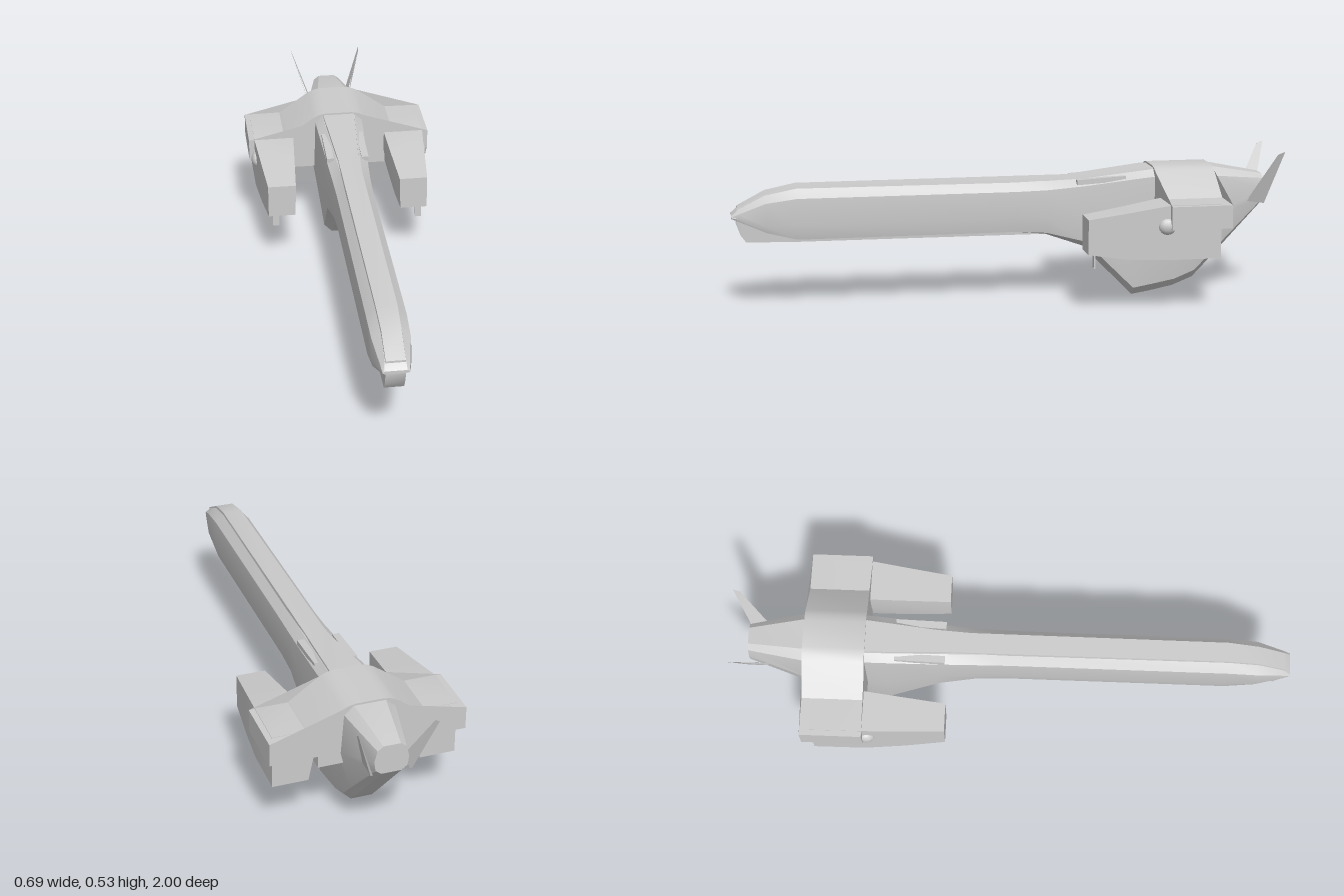
import * as THREE from 'three';
import { toCreasedNormals } from 'three/addons/utils/BufferGeometryUtils.js';

const material = new THREE.MeshStandardMaterial({ color: 0xcccccc });
const thin = new THREE.MeshStandardMaterial({ color: 0xcccccc, side: THREE.DoubleSide });

function mesh(name, geometry, mat = material) {
  const m = new THREE.Mesh(geometry, mat);
  m.name = name;
  return m;
}

// Closed skin over rings of [x, y, z], front to back, each clockwise seen from the front
function loft(rings) {
  const n = rings[0].length;
  const index = [];
  for (let s = 0; s < rings.length - 1; s++) {
    for (let i = 0; i < n; i++) {
      const a = s * n + i, b = s * n + (i + 1) % n;
      index.push(a, b, b + n, a, b + n, a + n);
    }
  }
  const last = (rings.length - 1) * n;
  for (let i = 1; i < n - 1; i++) {
    index.push(0, i + 1, i, last, last + i, last + i + 1);
  }
  const g = new THREE.BufferGeometry();
  g.setAttribute('position', new THREE.Float32BufferAttribute(rings.flat(2), 3));
  g.setIndex(index);
  return toCreasedNormals(g, 0.45);
}

// Mirrors the right-hand outline [[x, y], ...] (top to bottom) into a full ring
function ring(z, half) {
  return [
    ...half.map(([x, y]) => [x, y, z]),
    ...half.slice().reverse().map(([x, y]) => [-x, y, z]),
  ];
}

function box(name, x0, x1, y0, y1, z0, z1) {
  const m = mesh(name, new THREE.BoxGeometry(x1 - x0, y1 - y0, z1 - z0));
  m.position.set((x0 + x1) / 2, (y0 + y1) / 2, (z0 + z1) / 2);
  return m;
}

// Pod, blister, hanging vane, rail and tail fin of one side
function createSide(name) {
  const side = new THREE.Group();
  side.name = name;

  // z, inner x, outer x, top y, bottom y
  const podStations = [
    [-0.235, 0.196, 0.3, 0.34, 0.215],
    [-0.38, 0.186, 0.313, 0.363, 0.195],
    [-0.525, 0.176, 0.326, 0.388, 0.192],
    [-0.71, 0.176, 0.327, 0.388, 0.192],
  ];
  side.add(mesh('enginePod', loft(podStations.map(([z, xi, xo, top, bottom]) => [
    [xo, top, z], [xo, bottom, z], [Math.max(xi, 0.2), bottom, z],
    [xi, 0.31, z], [xi, top, z],
  ]))));

  const blister = mesh('podBlister', new THREE.SphereGeometry(0.03, 12, 8));
  blister.scale.set(0.7, 1, 1.1);
  blister.position.set(0.32, 0.312, -0.515);
  side.add(blister);

  side.add(box('podVane', 0.259, 0.283, 0.16, 0.215, -0.264, -0.258));

  const rail = box('shoulderRail', 0.052, 0.078, 0.43, 0.448, -0.42, -0.24);
  rail.rotation.x = 0.06;
  side.add(rail);

  // Fin leans outward: x follows height
  const finOutline = [[-0.88, 0.345], [-0.94, 0.43], [-0.975, 0.525], [-1, 0.535], [-0.945, 0.335]];
  const finX = (y, t) => 0.068 + (y - 0.335) * 0.345 + t * (0.54 - y) / 0.2;
  side.add(mesh('tailFin', loft([0.004, -0.004].map((t) =>
    finOutline.map(([z, y]) => [finX(y, t), y, z]))), thin));
  return side;
}

export function createModel() {
  const model = new THREE.Group();
  model.name = 'spacecraft';

  // Hull: z, then top, shoulder, side, chine and bottom corners
  const hullStations = [
    [1.0, [0.036, 0.345], [0.043, 0.342], [0.045, 0.339], [0.043, 0.336], [0.034, 0.334]],
    [0.975, [0.034, 0.367], [0.048, 0.352], [0.05, 0.335], [0.048, 0.326], [0.034, 0.323]],
    [0.88, [0.034, 0.415], [0.064, 0.39], [0.068, 0.31], [0.06, 0.285], [0.034, 0.283]],
    [0.77, [0.037, 0.437], [0.067, 0.405], [0.071, 0.31], [0.062, 0.257], [0.034, 0.255]],
    [-0.02, [0.037, 0.437], [0.067, 0.405], [0.071, 0.31], [0.062, 0.257], [0.034, 0.255]],
    [-0.13, [0.04, 0.437], [0.07, 0.408], [0.075, 0.31], [0.064, 0.25], [0.03, 0.24]],
    [-0.27, [0.046, 0.443], [0.077, 0.42], [0.082, 0.31], [0.075, 0.215], [0.027, 0.19]],
    [-0.455, [0.058, 0.465], [0.087, 0.442], [0.094, 0.26], [0.067, 0.032], [0.038, 0.002]],
    [-0.53, [0.063, 0.474], [0.09, 0.45], [0.096, 0.26], [0.067, 0.045], [0.038, 0.014]],
    [-0.61, [0.063, 0.476], [0.09, 0.45], [0.097, 0.26], [0.067, 0.06], [0.038, 0.03]],
    [-0.685, [0.06, 0.478], [0.092, 0.45], [0.098, 0.27], [0.066, 0.09], [0.038, 0.06]],
    [-0.745, [0.056, 0.477], [0.09, 0.447], [0.1, 0.3], [0.065, 0.15], [0.037, 0.122]],
    [-0.945, [0.03, 0.44], [0.05, 0.425], [0.06, 0.385], [0.055, 0.35], [0.034, 0.335]],
  ];
  model.add(mesh('hull', loft(hullStations.map(([z, ...half]) => ring(z, half)))));

  // Raised strip along the spine: z, half width, top y
  const spine = [
    [0.98, 0.032, 0.37], [0.88, 0.033, 0.423], [0.77, 0.036, 0.445], [-0.22, 0.038, 0.446],
    [-0.5, 0.058, 0.477], [-0.56, 0.06, 0.478],
  ];
  model.add(mesh('spinePlate', loft(spine.map(([z, w, y]) =>
    ring(z, [[w, y], [w + 0.004, y - 0.025]])))));

  // Chin strip under the nose and neck: z, top y, bottom y
  const chin = [
    [0.985, 0.329, 0.318], [0.97, 0.326, 0.275], [0.95, 0.32, 0.247],
    [0.77, 0.27, 0.243], [-0.12, 0.27, 0.24], [-0.22, 0.27, 0.23],
  ];
  model.add(mesh('chinStrip', loft(chin.map(([z, top, bottom]) =>
    ring(z, [[0.034, top], [0.033, bottom]])))));

  // Arched wing across the back of the hull
  const half = [
    [0.05, 0.484], [0.075, 0.479], [0.096, 0.469], [0.21, 0.388], [0.347, 0.386],
    [0.347, 0.303], [0.18, 0.303], [0.18, 0.26],
  ];
  model.add(mesh('wing', loft([ring(-0.525, half), ring(-0.745, half)])));

  const left = createSide('leftSide');
  const right = createSide('rightSide');
  right.scale.x = -1;
  model.add(left, right);
  return model;
}
